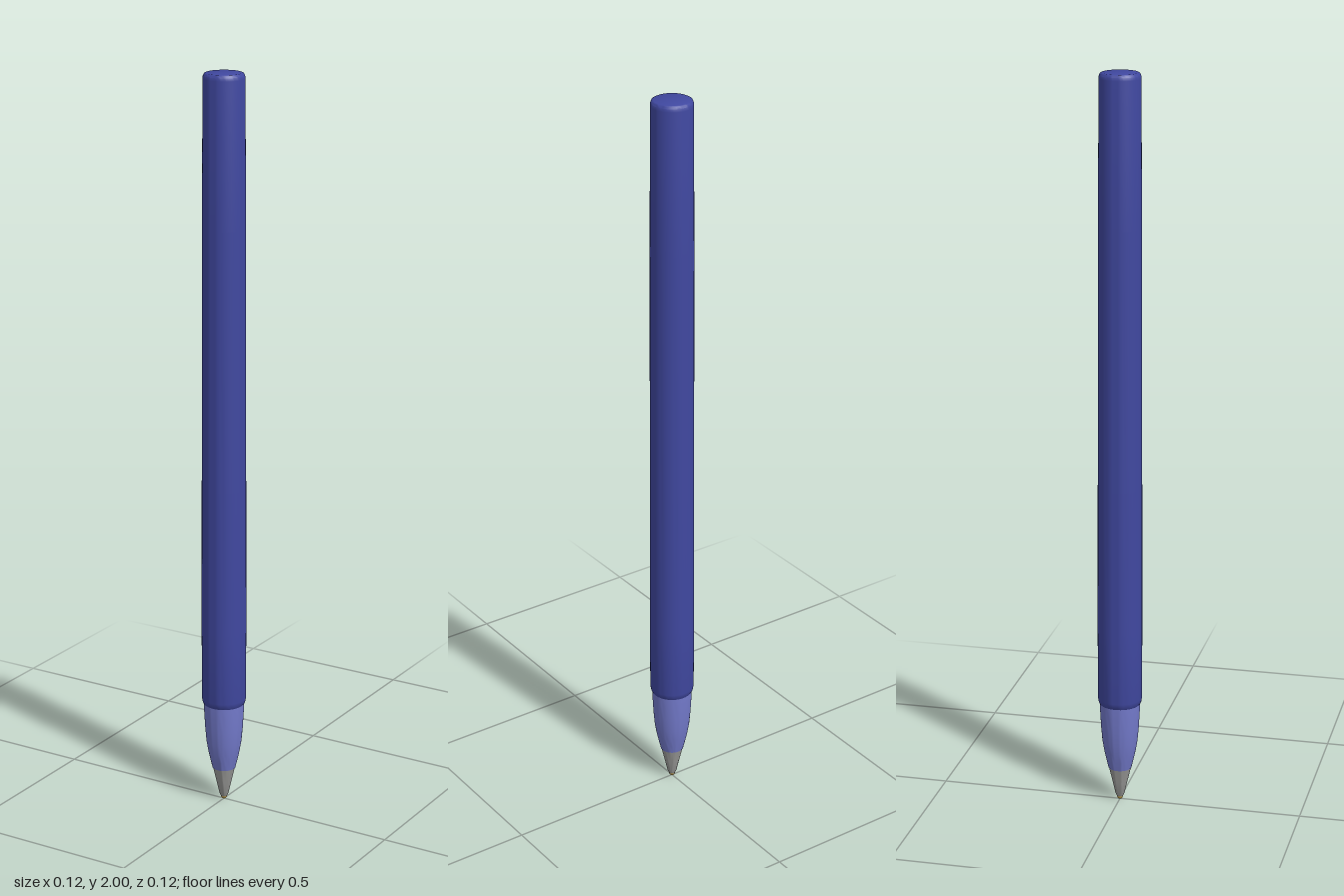
import * as THREE from 'three';
import { toCreasedNormals } from 'three/addons/utils/BufferGeometryUtils.js';

export function createModel() {
  const pen = new THREE.Group();
  pen.name = 'pen';

  const material = (name, color) => {
    const m = new THREE.MeshStandardMaterial({ color });
    m.name = name;
    return m;
  };
  const navy = material('navy plastic', 0x4048a0);
  const lilac = material('lilac grip', 0x737acb);
  const grey = material('grey metal', 0x9a9a98);
  const brass = material('brass ball', 0xb8933c);

  // Turned part from [radius, height] pairs, bottom to top
  const turned = (name, profile, mat) => {
    const points = profile.map(([r, y]) => new THREE.Vector2(r, y));
    const geometry = toCreasedNormals(new THREE.LatheGeometry(points, 48), 0.7);
    const mesh = new THREE.Mesh(geometry, mat);
    mesh.name = name;
    pen.add(mesh);
  };

  // Long barrel, slightly tapered, with rounded rims and a closed end
  turned('barrel', [
    [0, 0.285], [0.055, 0.285], [0.058, 0.29], [0.06, 0.302], [0.0602, 0.5],
    [0.059, 0.9], [0.0565, 1.6], [0.0545, 1.985], [0.0535, 1.993],
    [0.051, 1.998], [0.047, 2], [0, 2],
  ], navy);

  // Curved grip
  turned('grip', [
    [0, 0.095], [0.0315, 0.095], [0.0375, 0.12], [0.043, 0.145],
    [0.048, 0.175], [0.0515, 0.215], [0.054, 0.26], [0.0545, 0.286],
  ], lilac);

  // Metal writing cone
  turned('tipCone', [
    [0, 0.007], [0.0085, 0.009], [0.0125, 0.018], [0.021, 0.055], [0.0305, 0.096],
  ], grey);

  // Writing ball
  const ball = new THREE.Mesh(new THREE.SphereGeometry(0.008, 20, 14), brass);
  ball.name = 'writingBall';
  ball.position.y = 0.008;
  pen.add(ball);

  return pen;
}
